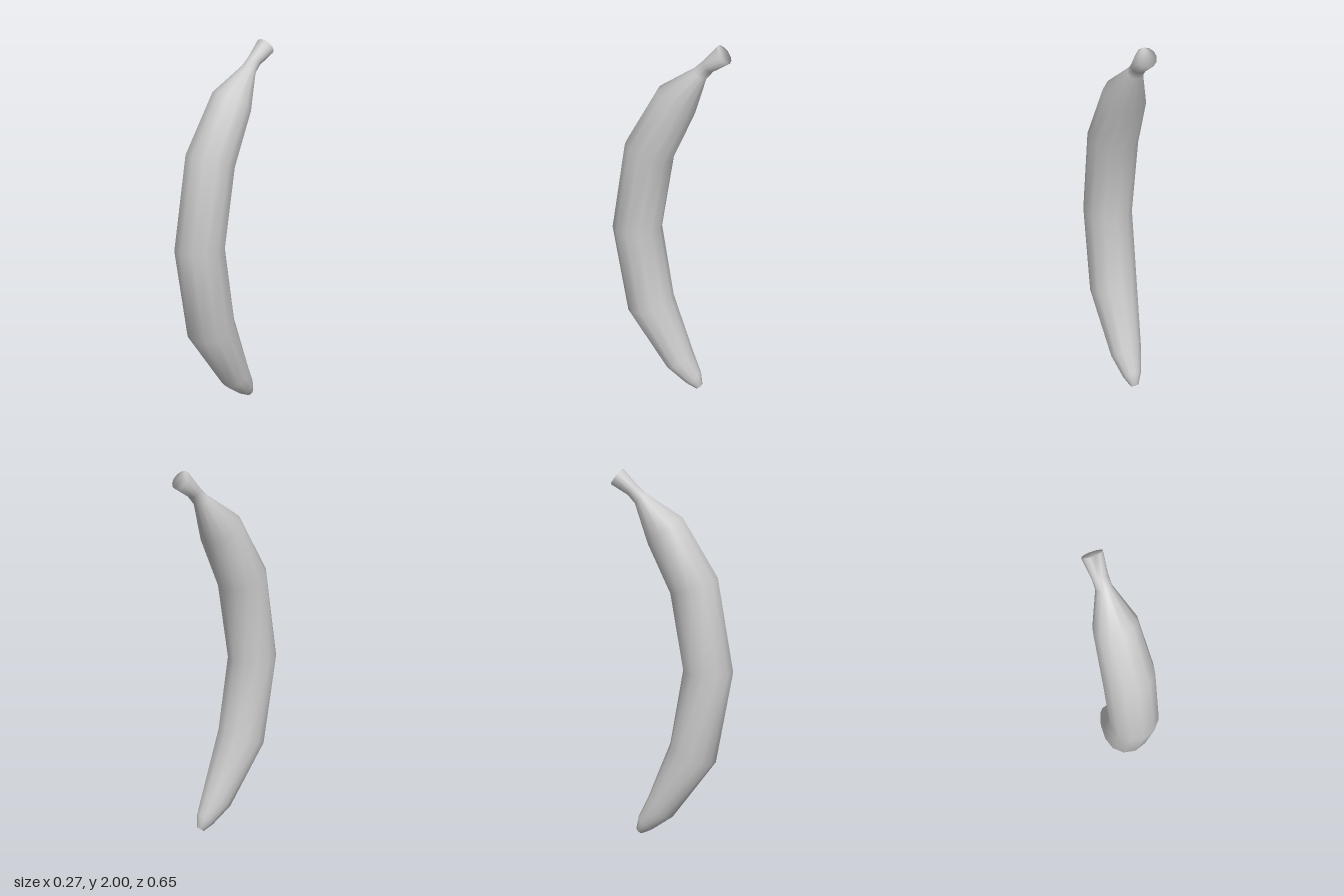
import * as THREE from 'three';

const SIDES = 12;

// Rings from the tip up to the stem: [front z, front y, back z, back y, half width]
const RINGS = [
  [-0.172, 0.0, -0.206, 0.03, 0.022],
  [-0.115, 0.027, -0.192, 0.1, 0.052],
  [0.0, 0.11, -0.14, 0.21, 0.088],
  [0.238, 0.445, -0.012, 0.54, 0.135],
  [0.325, 0.95, 0.057, 0.95, 0.135],
  [0.238, 1.45, -0.012, 1.36, 0.135],
  [0.053, 1.757, -0.132, 1.62, 0.112],
  [-0.135, 1.875, -0.198, 1.825, 0.04],
  [-0.18, 1.915, -0.235, 1.868, 0.04],
  [-0.257, 2.0, -0.322, 1.92, 0.053],
];

// Skin the rings into one closed, smooth surface
function loftRings(rings) {
  const positions = [];
  const index = [];
  for (const [fz, fy, bz, by, half] of rings) {
    for (let j = 0; j < SIDES; j++) {
      const a = (j / SIDES) * Math.PI * 2;
      const t = (1 - Math.cos(a)) / 2;
      positions.push(half * Math.sin(a), fy + (by - fy) * t, fz + (bz - fz) * t);
    }
  }
  for (let i = 0; i < rings.length - 1; i++) {
    for (let j = 0; j < SIDES; j++) {
      const k = (j + 1) % SIDES;
      const a = i * SIDES + j, b = i * SIDES + k;
      index.push(a, b, b + SIDES, a, b + SIDES, a + SIDES);
    }
  }
  // End caps share the ring corners so the shading rolls over the rims
  const last = (rings.length - 1) * SIDES;
  for (let j = 1; j < SIDES - 1; j++) {
    index.push(0, j + 1, j);
    index.push(last, last + j, last + j + 1);
  }
  const geometry = new THREE.BufferGeometry();
  geometry.setAttribute('position', new THREE.Float32BufferAttribute(positions, 3));
  geometry.setIndex(index);
  geometry.computeVertexNormals();
  return geometry;
}

export function createModel() {
  const group = new THREE.Group();
  group.name = 'banana';
  const peel = new THREE.MeshStandardMaterial({ color: 0xcccccc });
  peel.name = 'pale grey';
  const fruit = new THREE.Mesh(loftRings(RINGS), peel);
  fruit.name = 'peelAndStem';
  group.add(fruit);
  return group;
}
